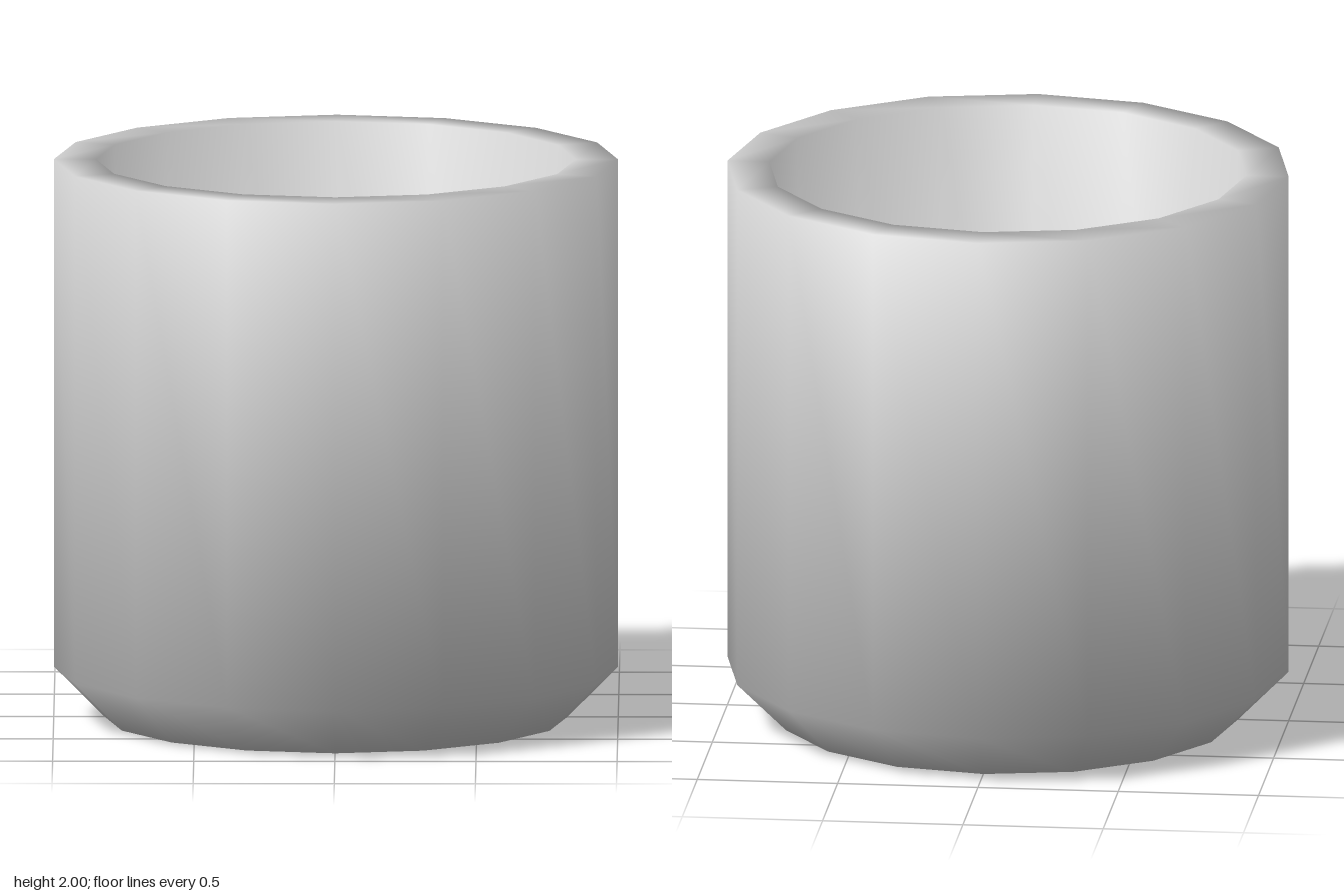
import * as THREE from 'three';

const SIDES = 16;

// Half cross-section [radius, height], from the centre of the underside
// around the outside, over the rim, and down to the centre of the inside floor.
const PROFILE = [
  [0, 0.16], [0.66, 0.16], [0.76, 0.1], [0.82, 0], // hollow underside
  [1, 0.18], [1, 2], [0.85, 2], // chamfered foot, outer wall, rim
  [0.81, 0.02], [0.77, 0.11], [0.67, 0.18], [0, 0.18], // inner wall and raised floor
];

// Smooth normals in which both neighbouring bands count equally
function evenNormals(geometry, points) {
  const bands = points.slice(1).map((p, j) => {
    const d = p.clone().sub(points[j]).normalize();
    return new THREE.Vector2(d.y, -d.x);
  });
  const normal = geometry.attributes.normal;
  points.forEach((p, j) => {
    const before = bands[Math.max(j - 1, 0)];
    const after = bands[Math.min(j, bands.length - 1)];
    const n = before.clone().add(after).normalize();
    for (let i = 0; i <= SIDES; i++) {
      const a = (i / SIDES) * Math.PI * 2;
      normal.setXYZ(i * points.length + j, n.x * Math.sin(a), n.y, n.x * Math.cos(a));
    }
  });
}

export function createModel() {
  const group = new THREE.Group();
  group.name = 'cup';

  const points = PROFILE.map(([r, y]) => new THREE.Vector2(r, y));
  const geometry = new THREE.LatheGeometry(points, SIDES);
  evenNormals(geometry, points);

  const body = new THREE.Mesh(geometry, new THREE.MeshStandardMaterial({ color: 0xcccccc }));
  body.name = 'cupBody';
  group.add(body);
  return group;
}
